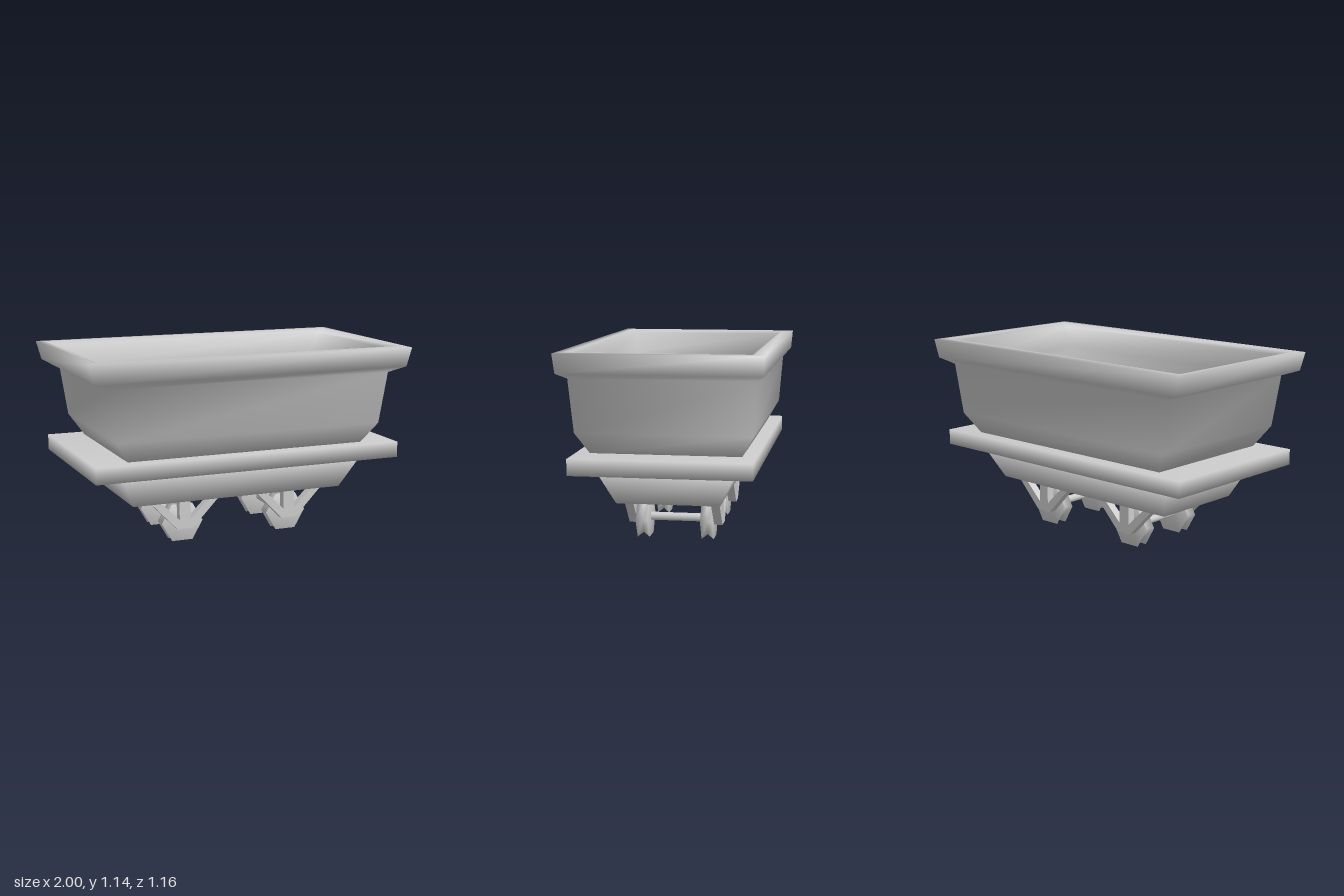
import * as THREE from 'three';

// Smooth rectangular loft: each ring is [half width x, half depth z, y]
function loft(rings) {
  const corners = [[1, 1], [1, -1], [-1, -1], [-1, 1]];
  const pos = [];
  const idx = [];
  for (const [hx, hz, y] of rings) {
    for (const [sx, sz] of corners) pos.push(sx * hx, y, sz * hz);
  }
  for (let i = 0; i < rings.length - 1; i++) {
    for (let j = 0; j < 4; j++) {
      const a = i * 4 + j, b = i * 4 + (j + 1) % 4;
      idx.push(a, b, b + 4, a, b + 4, a + 4);
    }
  }
  const t = (rings.length - 1) * 4;
  idx.push(0, 2, 1, 0, 3, 2, t, t + 1, t + 2, t, t + 2, t + 3);
  const geo = new THREE.BufferGeometry();
  geo.setAttribute('position', new THREE.Float32BufferAttribute(pos, 3));
  geo.setIndex(idx);
  geo.computeVertexNormals();
  return geo;
}

export function createModel() {
  const model = new THREE.Group();
  model.name = 'mineCart';
  const grey = new THREE.MeshStandardMaterial({ color: 0xcccccc });
  grey.name = 'grey metal';

  const add = (name, geo, x = 0, y = 0, z = 0) => {
    const mesh = new THREE.Mesh(geo, grey);
    mesh.name = name;
    mesh.position.set(x, y, z);
    model.add(mesh);
  };

  // Open tub: up the outside, over the rim, down to the inner floor
  add('tub', loft([
    [0.74, 0.43, 0.55], [0.825, 0.503, 0.68], [0.87, 0.525, 0.99],
    [0.97, 0.57, 1.025], [1.0, 0.578, 1.138], [0.95, 0.515, 1.142],
    [0.9, 0.48, 1.12], [0.83, 0.48, 0.99], [0.785, 0.46, 0.69], [0.71, 0.4, 0.58],
  ]));

  // Deck plate and tapered undercarriage
  add('deck', loft([[0.955, 0.515, 0.46], [0.955, 0.515, 0.555]]));
  add('undercarriage', loft([[0.67, 0.3, 0.255], [0.77, 0.4, 0.465]]));

  // Six-sided wheel with a V groove
  const wheel = new THREE.LatheGeometry([
    [0, -0.036], [0.13, -0.036], [0.1, 0], [0.13, 0.036], [0, 0.036],
  ].map(([r, h]) => new THREE.Vector2(r, h)), 6, Math.PI / 2);
  wheel.rotateX(Math.PI / 2);

  const axle = new THREE.CylinderGeometry(0.025, 0.025, 0.5, 8);
  axle.rotateX(Math.PI / 2);

  // Three-pronged axle bracket
  const half = [[0.05, 0.085], [0.218, 0.26], [0.158, 0.26], [0.035, 0.14], [0.035, 0.26]];
  const mirrored = half.map(([x, y]) => [-x, y]).reverse();
  const bracket = new THREE.ExtrudeGeometry(
    new THREE.Shape([...half, ...mirrored].map(([x, y]) => new THREE.Vector2(x, y))),
    { depth: 0.05, bevelEnabled: false });
  bracket.translate(0, 0, -0.025);

  for (const x of [-0.34, 0.34]) {
    add('axle', axle, x, 0.115, 0);
    for (const s of [-1, 1]) {
      add('wheel', wheel, x, 0.1126, s * 0.192);
      add('axleBracket', bracket, x, 0, s * 0.254);
    }
  }
  return model;
}
